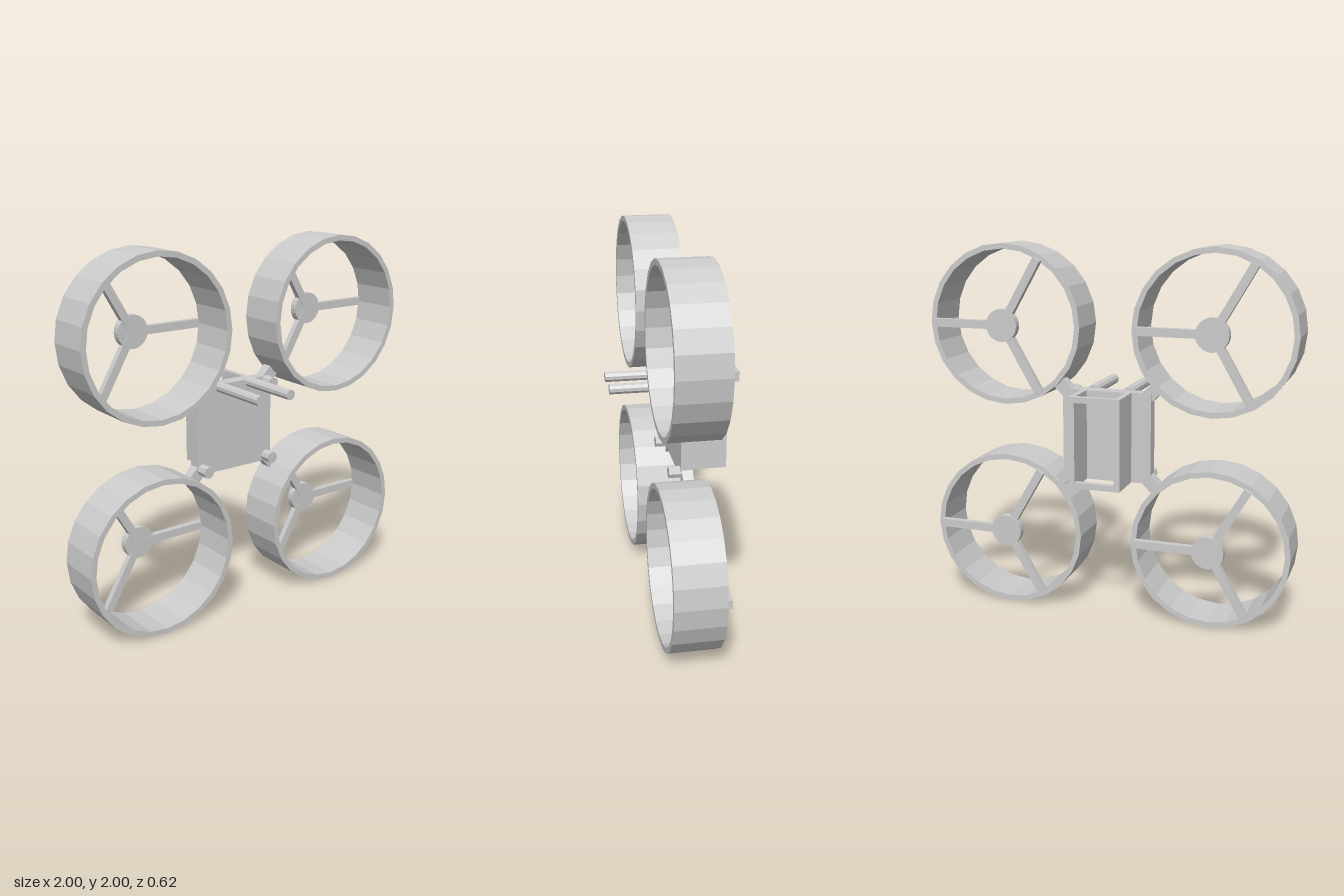
import * as THREE from 'three';

const mat = new THREE.MeshStandardMaterial({ color: 0xcccccc, flatShading: true });

function add(parent, name, geometry, x = 0, y = 0, z = 0) {
  const mesh = new THREE.Mesh(geometry, mat);
  mesh.name = name;
  mesh.position.set(x, y, z);
  parent.add(mesh);
  return mesh;
}

// Cylinder lying along z between two depths
function rod(parent, name, radius, sides, x, y, z0, z1) {
  const geo = new THREE.CylinderGeometry(radius, radius, z1 - z0, sides).rotateX(Math.PI / 2);
  return add(parent, name, geo, x, y, (z0 + z1) / 2);
}

// Box given by its depth range
function slab(parent, name, w, h, x, y, z0, z1) {
  return add(parent, name, new THREE.BoxGeometry(w, h, z1 - z0), x, y, (z0 + z1) / 2);
}

// Ducted rotor: ring, hub and three spokes
function rotor() {
  const g = new THREE.Group();
  g.name = 'rotor';
  const ro = 0.429, ri = 0.4, h = 0.13;
  const profile = [[ri, -h], [ro, -h], [ro, h], [ri, h], [ri, -h]].map(p => new THREE.Vector2(...p));
  add(g, 'ductRing', new THREE.LatheGeometry(profile, 24).rotateX(Math.PI / 2));
  rod(g, 'motorHub', 0.087, 24, 0, 0, -0.166, -0.125);
  for (let i = 0; i < 3; i++) {
    const geo = new THREE.BoxGeometry(0.375, 0.044, 0.035);
    geo.translate(0.2175, 0, -0.139).rotateZ((i * Math.PI * 2) / 3);
    add(g, 'spoke', geo);
  }
  return g;
}

export function createModel() {
  const model = new THREE.Group();
  model.name = 'quadcopter';
  const cy = 1.003, height = 0.484;

  // Central body plate
  slab(model, 'bodyPlate', 0.488, height, 0, cy, -0.111, -0.042);

  // Open battery cage: side walls, thin inner wall and windowed back frame
  const cage = new THREE.Group();
  cage.name = 'batteryCage';
  model.add(cage);
  slab(cage, 'cageInnerWall', 0.22, height, 0, cy, -0.12, -0.11);
  for (const s of [-1, 1]) {
    slab(cage, 'cageSide', 0.031, height, s * 0.1225, cy, -0.281, -0.11);
  }
  const rect = (Type, w, h) => new Type([[-w, -h], [w, -h], [w, h], [-w, h]].map(p => new THREE.Vector2(...p)));
  const frame = rect(THREE.Shape, 0.138, height / 2);
  frame.holes.push(rect(THREE.Path, 0.107, height / 2 - 0.031));
  add(cage, 'cageBackFrame', new THREE.ExtrudeGeometry(frame, { depth: 0.031, bevelEnabled: false }), 0, cy, -0.311);

  // Rotors with their arms and corner bolts
  for (const sx of [-1, 1]) {
    for (const sy of [-1, 1]) {
      const r = rotor();
      r.position.set(sx * 0.57, 1.001 + sy * 0.57, 0);
      model.add(r);
      const arm = slab(model, 'arm', 0.15, 0.068, sx * 0.225, cy + sy * 0.225, -0.105, -0.047);
      arm.rotation.z = sx * sy * Math.PI / 4;
      rod(model, 'cornerBolt', 0.033, 8, sx * 0.214, cy + sy * 0.214, -0.05, 0.02);
    }
    // Forward probes
    rod(model, 'frontRod', 0.028, 10, sx * 0.098, 1.231, -0.05, 0.31);
  }
  return model;
}
